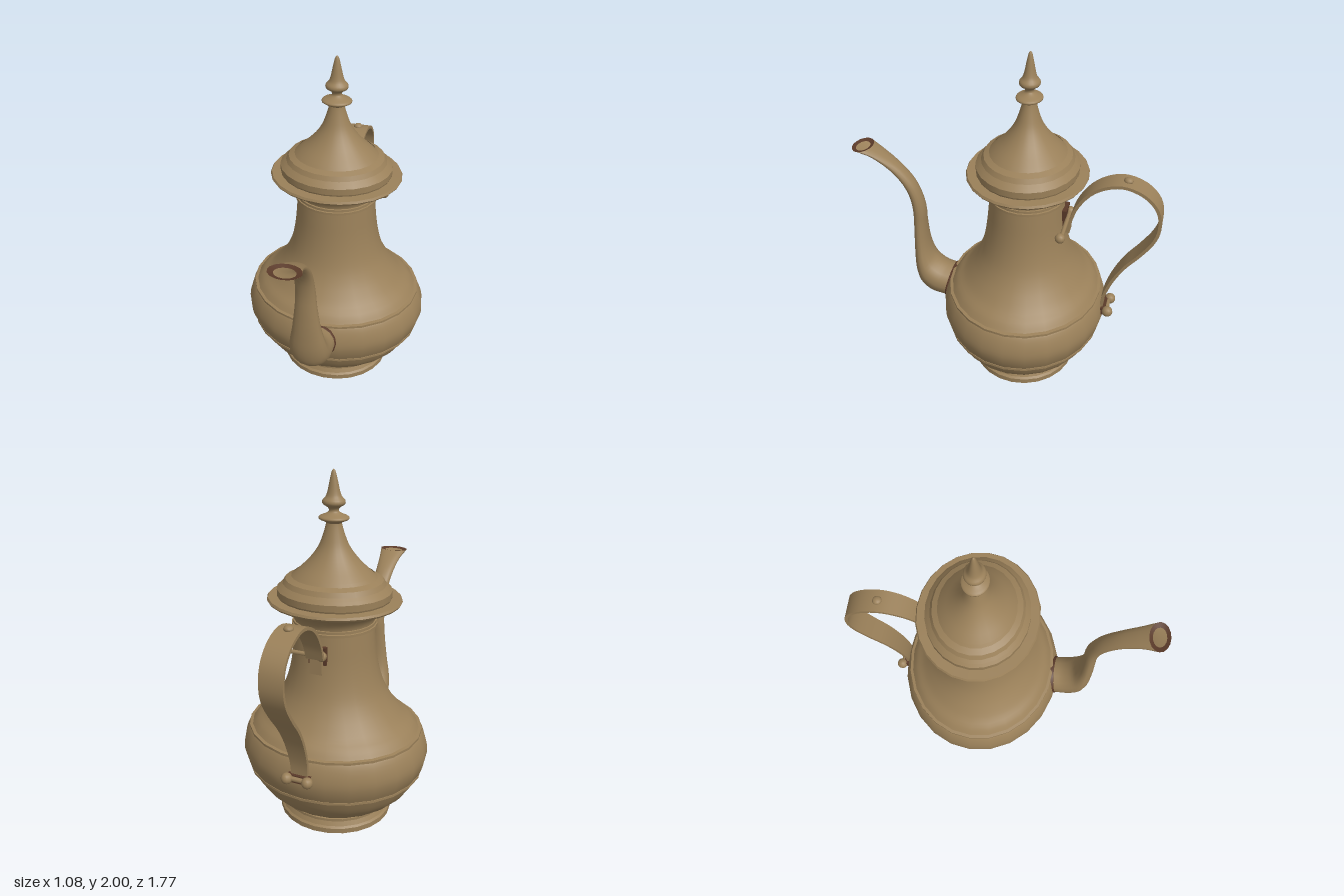
import * as THREE from 'three';
import { toCreasedNormals } from 'three/addons/utils/BufferGeometryUtils.js';

const SIDES = 24, AXIS_Z = -0.135;

export function createModel() {
  const group = new THREE.Group();
  const brass = new THREE.MeshStandardMaterial({ color: 0x9a8059, side: THREE.DoubleSide });
  brass.name = 'brass';
  const dark = new THREE.MeshStandardMaterial({ color: 0x5a3a29, side: THREE.DoubleSide });
  dark.name = 'dark solder';

  const add = (name, geo, mat = brass, x = 0, y = 0, z = 0) => {
    const m = new THREE.Mesh(geo, mat);
    m.name = name;
    m.position.set(x, y, z);
    group.add(m);
    return m;
  };
  const spline = (pts, n) =>
    new THREE.CatmullRomCurve3(pts.map(p => new THREE.Vector3(...p)), false, 'centripetal').getPoints(n);

  // Oval turned part: points are [x radius, y, z radius / x radius]
  const turned = (name, pts, smooth = 0) => {
    let p = pts.map(a => new THREE.Vector3(...a));
    if (smooth) p = spline(pts, smooth);
    else p = p.flatMap(v => [v, v]); // doubled points give crisp edges
    const geo = new THREE.LatheGeometry(p.map(v => new THREE.Vector2(Math.max(v.x, 0), v.y)), SIDES);
    const pos = geo.attributes.position, nor = geo.attributes.normal, n = new THREE.Vector3();
    for (let i = 0; i < pos.count; i++) {
      const k = p[i % p.length].z;
      pos.setZ(i, pos.getZ(i) * k);
      n.fromBufferAttribute(nor, i);
      n.z /= k;
      n.normalize();
      nor.setXYZ(i, n.x, n.y, n.z);
    }
    return add(name, geo, brass, 0, 0, AXIS_Z);
  };

  // Skin over closed rings of points
  const loft = rings => {
    const n = rings[0].length, idx = [];
    for (let i = 0; i < rings.length - 1; i++)
      for (let j = 0; j < n; j++) {
        const a = i * n + j, b = i * n + (j + 1) % n, c = b + n, d = a + n;
        idx.push(a, b, d, b, c, d);
      }
    const geo = new THREE.BufferGeometry().setFromPoints(rings.flat());
    geo.setIndex(idx);
    geo.computeVertexNormals();
    return geo;
  };

  // Foot and body
  turned('foot', [[0, 0, .94], [.329, 0, .94], [.329, .03, .94], [.318, .04, .94],
    [.305, .065, .94], [.305, .08, .94], [.28, .085, .94]]);
  turned('belly', [[.27, .075, .92], [.33, .1, .91], [.405, .155, .9], [.46, .215, .89], [.504, .3, .89],
    [.53, .36, .89], [.541, .42, .89], [.53, .485, .89], [.505, .54, .89], [.485, .56, .89]], 24);
  turned('shoulderAndNeck', [[.485, .56, .89], [.455, .595, .89], [.405, .635, .9], [.36, .685, .9], [.32, .74, .91],
    [.283, .81, .92], [.255, .9, .93], [.237, 1, .94], [.227, 1.1, .94], [.22, 1.18, .94]], 24);
  turned('flaredMouth', [[.22, 1.18, .94], [.227, 1.215, .93], [.25, 1.25, .92], [.29, 1.28, .91], [.345, 1.3, .9]], 12);
  turned('rim', [[.33, 1.296, .9], [.365, 1.302, .9], [.372, 1.312, .9], [.365, 1.324, .9], [.3, 1.326, .9]]);

  // Raised bands around the body: y, radius, oval ratio
  for (const [y, r, k] of [[.305, .513, .89], [.55, .503, .89], [1.175, .236, .94], [1.192, .23, .94]])
    turned('band', [[r - .04, y - .014, k], [r, y - .007, k], [r, y + .007, k], [r - .04, y + .014, k]]);

  // Lid with stepped edge, dome and finial
  turned('lidEdge', [[.31, 1.32, .89], [.316, 1.335, .89], [.316, 1.37, .89], [.3, 1.385, .89],
    [.283, 1.4, .89], [.268, 1.425, .89], [.235, 1.44, .89], [.22, 1.455, .89]]);
  turned('lidDome', [[.235, 1.435, .89], [.2, 1.468, .89], [.155, 1.51, .89], [.115, 1.555, .9], [.082, 1.605, .9],
    [.06, 1.66, .9], [.045, 1.71, .9], [.04, 1.735, .9]], 20);
  turned('finial', [[.036, 1.72, .9], [.05, 1.732, .87], [.082, 1.748, .86], [.08, 1.757, .86], [.048, 1.772, .88],
    [.027, 1.787, .9], [.03, 1.803, .9], [.06, 1.825, .9], [.06, 1.842, .9], [.043, 1.862, .9],
    [.033, 1.89, .9], [.021, 1.945, .9], [.008, 1.993, .9], [0, 2, .9]], 40);

  // Spout: outer edge z,y, inner edge z,y and half width
  const sections = [
    [.35, .36, .31, .555, .113], [.448, .378, .37, .57, .115], [.515, .435, .425, .61, .113],
    [.545, .53, .45, .66, .102], [.552, .66, .466, .74, .082], [.55, .83, .473, .86, .064],
    [.551, .96, .474, .95, .056], [.575, 1.07, .492, 1.04, .052], [.625, 1.155, .53, 1.13, .052],
    [.70, 1.23, .605, 1.22, .055], [.8, 1.298, .7, 1.29, .066], [.888, 1.328, .772, 1.332, .085]];
  const outer = spline(sections.map(s => [0, s[1], s[0]]), 36);
  const inner = spline(sections.map(s => [0, s[3], s[2]]), 36);
  const widths = spline(sections.map((s, i) => [s[4], i * .1, 0]), 36);
  const ring = (i, scale = 1, dy = 0, dz = 0) => {
    const c = outer[i].clone().add(inner[i]).multiplyScalar(.5);
    const a = outer[i].clone().sub(c);
    return Array.from({ length: 16 }, (_, j) => {
      const t = j / 16 * Math.PI * 2;
      const p = c.clone().addScaledVector(a, Math.cos(t) * scale);
      p.x = Math.sin(t) * widths[i].x * scale;
      p.y += dy;
      p.z += dz;
      return p;
    });
  };
  add('spout', loft([ring(0, 1, 0, -.03), ...outer.map((_, i) => ring(i))]));
  add('spoutLip', loft([ring(36, 1.01, .001), ring(36, .66, -.006)]), dark);
  add('spoutCollar', loft([ring(0, 1.06, 0, -.035), ring(0, 1.06, 0, .006), ring(0, .98, 0, .012)]), dark);

  // Curved strap handle: z, y, half width
  const strap = spline([[.05, 1.06, -.392], [.052, 1.15, -.422], [.057, 1.255, -.495], [.062, 1.312, -.585],
    [.064, 1.326, -.676], [.065, 1.285, -.785], [.065, 1.205, -.855], [.065, 1.1, -.874], [.065, 1.01, -.853],
    [.063, .9, -.786], [.06, .8, -.712], [.055, .68, -.65], [.05, .55, -.61], [.046, .45, -.603]], 48);
  const handleRings = strap.map((p, i) => {
    const d = strap[Math.min(i + 1, 48)].clone().sub(strap[Math.max(i - 1, 0)]).setX(0).normalize();
    const n = new THREE.Vector3(1, 0, 0).cross(d).multiplyScalar(.009);
    return [[1, 1], [-1, 1], [-1, -1], [1, -1]].map(([u, v]) =>
      new THREE.Vector3(p.x * v, p.y + n.y * u, p.z + n.z * u));
  });
  add('handle', toCreasedNormals(loft(handleRings), .8));

  // Studs, pins and mounts
  const ball = (name, x, y, z, r) => add(name, new THREE.SphereGeometry(r, 12, 8), brass, x, y, z);
  const pin = (name, x, y, z, len, r) =>
    add(name, new THREE.CylinderGeometry(r, r, len, 8), brass, x, y, z).rotation.z = Math.PI / 2;
  ball('handleTopStud', 0, 1.337, -.68, .026).scale.y = .7;
  pin('upperPin', .11, 1.07, -.375, .24, .012);
  ball('upperPinKnob', .237, 1.07, -.37, .028);
  ball('upperPinEnd', -.03, 1.07, -.375, .028);
  add('upperMount', new THREE.BoxGeometry(.07, .09, .05), brass, 0, 1.01, -.362);
  add('upperMountPlate', new THREE.BoxGeometry(.1, .1, .03), dark, 0, 1.065, -.352);
  pin('lowerPin', 0, .46, -.635, .14, .014);
  for (const s of [-1, 1]) ball('lowerPinKnob', s * .06, .46, -.643, .032);
  add('lowerMountPlate', new THREE.BoxGeometry(.13, .045, .04), dark, 0, .455, -.61);

  return group;
}
